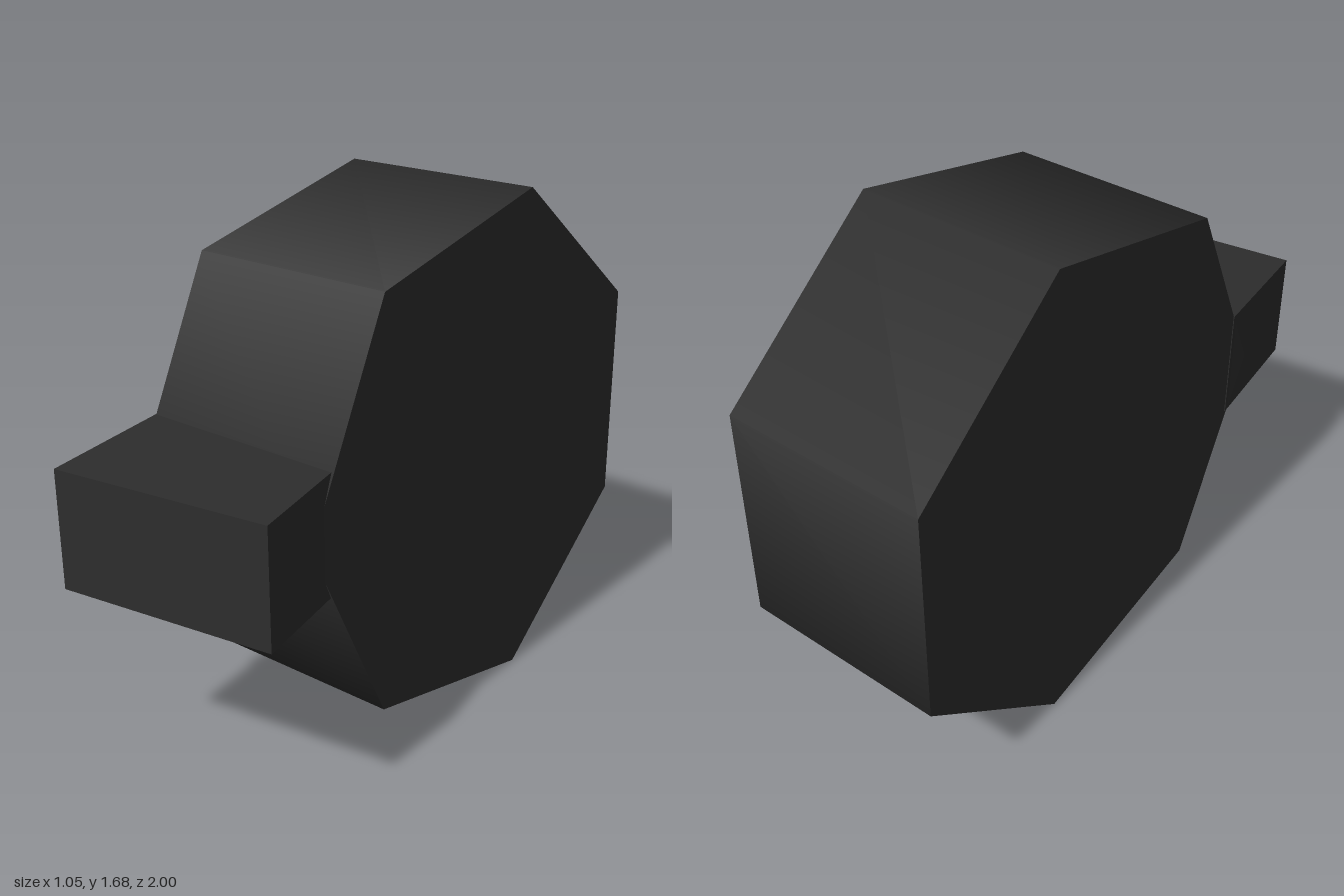
import * as THREE from 'three';

export function createModel() {
  const model = new THREE.Group();
  const charcoal = new THREE.MeshStandardMaterial({ color: 0x2d2d2d });
  charcoal.name = 'charcoal';

  // Seven-sided drum lying on its side, one corner forward, turned about y
  const drumGeometry = new THREE.CylinderGeometry(0.862, 0.862, 0.711, 7);
  drumGeometry.rotateZ(-Math.PI / 2);
  const drum = new THREE.Mesh(drumGeometry, charcoal);
  drum.name = 'drum';
  drum.position.set(0.013, 0.842, -0.164);
  drum.rotation.y = -0.211;
  model.add(drum);

  // Front block: a box whose corners are pulled to a slightly skewed shape
  const blockGeometry = new THREE.BoxGeometry(1, 1, 1);
  const p = blockGeometry.attributes.position;
  for (let i = 0; i < p.count; i++) {
    const right = p.getX(i) > 0, top = p.getY(i) > 0, front = p.getZ(i) > 0;
    const x = right ? 0.192 : front ? -0.53 : -0.497;
    const y = top ? (front ? 1.035 : 1.049) : (front ? 0.654 : 0.661);
    const z = front ? (right ? 1 : 0.955) : (right ? 0.655 : 0.505);
    p.setXYZ(i, x, y, z);
  }
  blockGeometry.computeVertexNormals();
  const block = new THREE.Mesh(blockGeometry, charcoal);
  block.name = 'frontBlock';
  model.add(block);

  return model;
}
